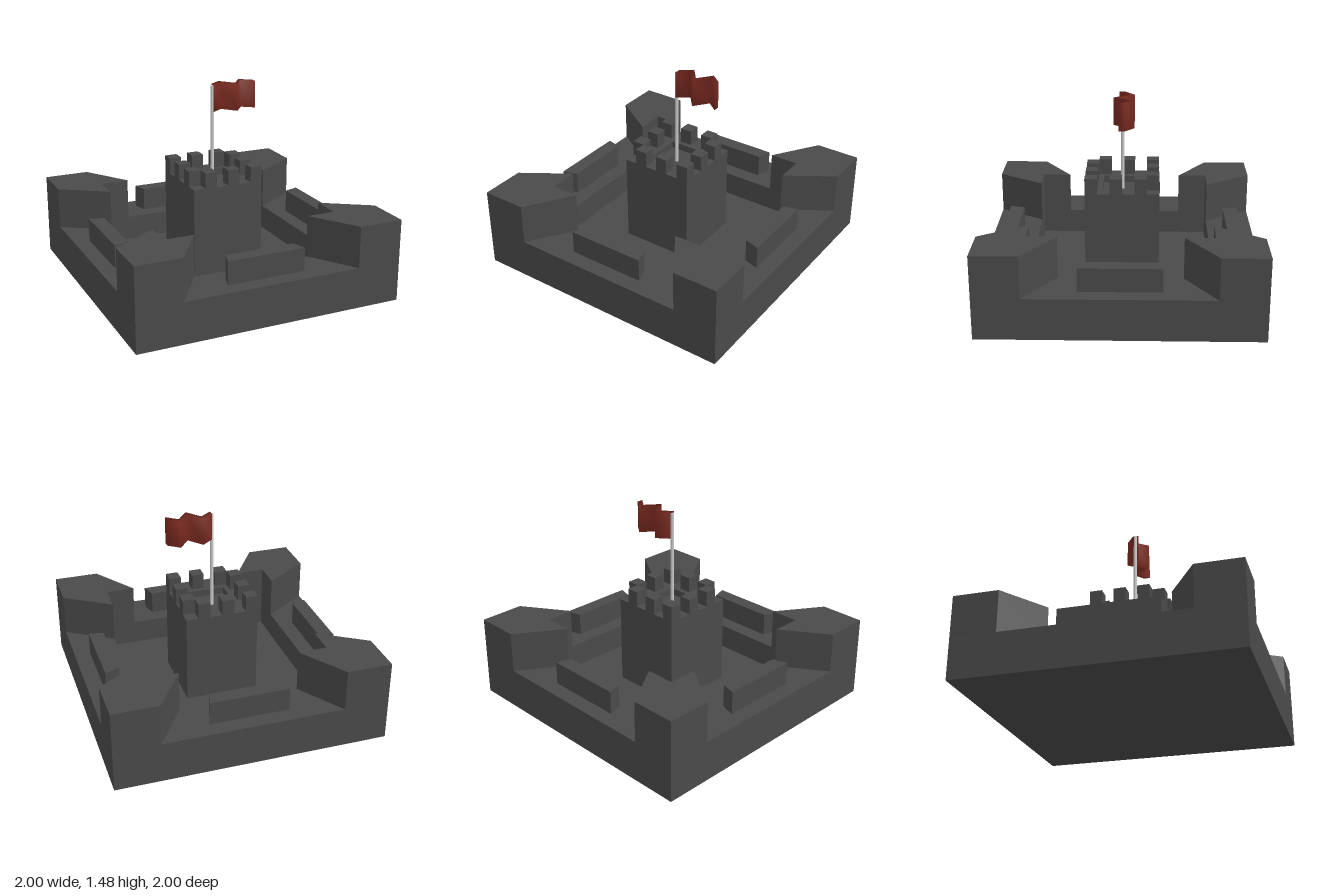
import * as THREE from 'three';
import { mergeVertices } from 'three/addons/utils/BufferGeometryUtils.js';

const stone = new THREE.MeshStandardMaterial({ color: 0x4a4a4a, flatShading: true });
const metal = new THREE.MeshStandardMaterial({ color: 0xcccccc });
const cloth = new THREE.MeshStandardMaterial({ color: 0x7a2a20 });

// Raise a plan outline of [x, z] points from y0 to y1
const outline = (pts) => pts.map(([x, z]) => new THREE.Vector2(x, -z));
const square = (h) => [[-h, h], [h, h], [h, -h], [-h, -h]];
function raise(pts, y0, y1, hole) {
  const shape = new THREE.Shape(outline(pts));
  if (hole) shape.holes.push(new THREE.Path(outline(hole)));
  const geo = new THREE.ExtrudeGeometry(shape, { depth: y1 - y0, bevelEnabled: false });
  return geo.rotateX(-Math.PI / 2).translate(0, y0, 0);
}

export function createModel() {
  const model = new THREE.Group();
  const add = (parent, name, geo, mat = stone) => {
    const mesh = new THREE.Mesh(geo, mat);
    mesh.name = name;
    parent.add(mesh);
    return mesh;
  };
  const group = (name) => {
    const g = new THREE.Group();
    g.name = name;
    model.add(g);
    return g;
  };

  // Outer wall around a sunken courtyard
  const pit = 0.655, floorY = 0.12, wallY = 0.305;
  add(model, 'courtyardFloor', raise(square(1), 0, floorY));
  add(model, 'outerWall', raise(square(1), floorY, wallY, square(pit)));

  // Corner bastions and parapets, one of each per quarter turn
  const bastion = raise([[0.665, 1], [1, 1], [1, 0.665], [pit, 0.44], [pit, pit], [0.44, pit]], wallY, 0.613);
  const parapet = raise([[-0.293, 0.882], [0.293, 0.882], [0.26, 0.772], [-0.26, 0.772]], wallY, 0.478);
  const bastions = group('bastions'), parapets = group('parapets');
  for (let i = 0; i < 4; i++) {
    add(bastions, 'bastion', bastion).rotation.y = i * Math.PI / 2;
    add(parapets, 'parapet', parapet).rotation.y = i * Math.PI / 2;
  }

  // Keep with a shallow recess in its roof
  const keep = group('keep');
  const half = 0.27, roofY = 0.785, recessY = 0.735;
  add(keep, 'keepBody', raise(square(half), floorY, recessY));
  add(keep, 'keepRoof', raise(square(half), recessY, roofY, square(0.143)));

  // Merlons alternate around the roof edge
  const cell = half / 3;
  const merlon = new THREE.BoxGeometry(cell, 0.9 - roofY, cell);
  for (let i = 0; i < 6; i++) {
    for (let j = 0; j < 6; j++) {
      const edge = i === 0 || i === 5 || j === 0 || j === 5;
      if (!edge || (i + j) % 2) continue;
      add(keep, 'merlon', merlon).position.set((i - 2.5) * cell, (0.9 + roofY) / 2, (j - 2.5) * cell);
    }
  }

  // Flagpole
  const pole = new THREE.CylinderGeometry(0.013, 0.013, 1.467 - recessY, 12);
  add(model, 'flagpole', pole, metal).position.set(-0.005, (1.467 + recessY) / 2, 0);

  // Zigzag flag with softened folds
  const folds = [[0, 0], [0.085, -0.065], [0.17, 0.04], [0.25, -0.065], [0.333, 0]];
  const t = 0.023;
  const near = folds.map(([x, z]) => [x, z + t]);
  const far = folds.map(([x, z]) => [x, z - t]).reverse();
  let flag = raise([...near, ...far], 1.275, 1.475);
  flag.deleteAttribute('normal');
  flag.deleteAttribute('uv');
  flag = mergeVertices(flag);
  flag.computeVertexNormals();
  add(model, 'flag', flag, cloth);

  return model;
}
